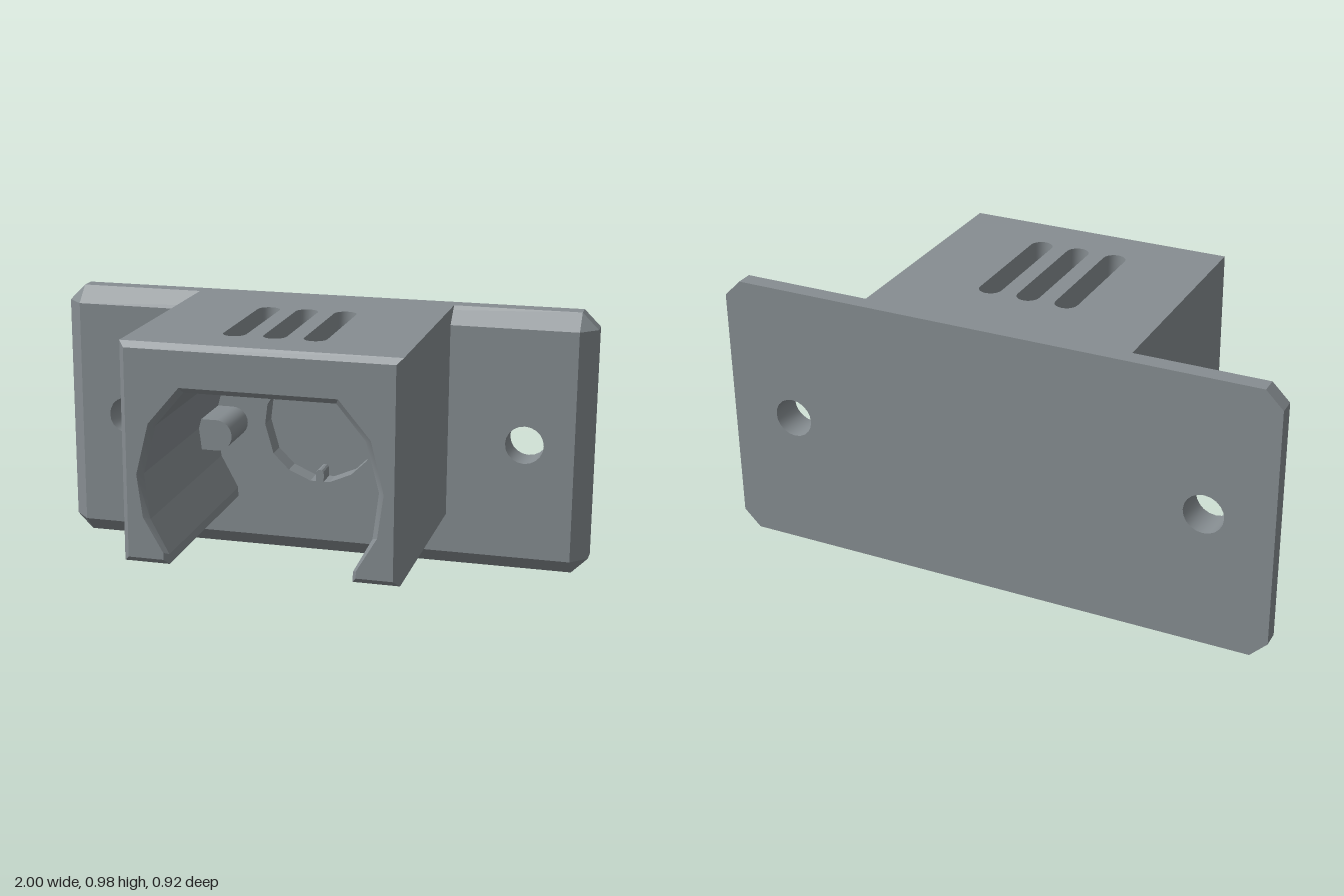
import * as THREE from 'three';
import { mergeGeometries, toCreasedNormals } from 'three/addons/utils/BufferGeometryUtils.js';

const material = new THREE.MeshStandardMaterial({ color: 0x868d91 });

// All outlines are counter-clockwise lists of [x, y].
const mirror = pts => pts.map(([x, y]) => [-x, y]).reverse();
const rect = (x0, y0, x1, y1) => [[x0, y0], [x1, y0], [x1, y1], [x0, y1]];
const arc = (cx, cy, r, from, to, n) => Array.from({ length: n + 1 }, (_, i) => {
  const a = from + (to - from) * i / n;
  return [cx + r * Math.cos(a), cy + r * Math.sin(a)];
});
const circle = (cx, cy, r, n = 20) => arc(cx, cy, r, 0, 2 * Math.PI, n).slice(0, n);

// Walls between outline a at z0 and outline b at z1, leaving out the skipped edges
function loft(a, z0, b, z1, skip = []) {
  const pos = [];
  const same = (p, q) => Math.hypot(p[0] - q[0], p[1] - q[1]) < 1e-6;
  a.forEach((p, i) => {
    if (skip.includes(i)) return;
    const j = (i + 1) % a.length;
    const [A, B, C, D] = [[...p, z0], [...a[j], z0], [...b[j], z1], [...b[i], z1]];
    if (!same(p, a[j])) pos.push(...A, ...B, ...C);
    if (!same(b[i], b[j])) pos.push(...A, ...C, ...D);
  });
  const g = new THREE.BufferGeometry();
  g.setAttribute('position', new THREE.Float32BufferAttribute(pos, 3));
  return g;
}
const holeWall = (pts, z0, z1) => {
  const r = [...pts].reverse();
  return loft(r, z0, r, z1);
};

// Flat face at height z; flip turns it towards -z
function cap(pts, z, holes = [], flip = false) {
  const vec = list => list.map(p => new THREE.Vector2(...p));
  const shape = new THREE.Shape(vec(pts));
  shape.holes = holes.map(h => new THREE.Path(vec(h)));
  const g = new THREE.ShapeGeometry(shape).translate(0, 0, z);
  if (flip) g.index.array.reverse();
  const flat = g.toNonIndexed();
  flat.deleteAttribute('uv');
  flat.deleteAttribute('normal');
  return flat;
}

function part(name, geometries) {
  const mesh = new THREE.Mesh(toCreasedNormals(mergeGeometries(geometries), 0.35), material);
  mesh.name = name;
  return mesh;
}

export function createModel() {
  const group = new THREE.Group();
  group.name = 'wallHolder';

  // Wall plate: clipped corners, bevelled front, two screw holes, keyed plug recess
  const H = 0.975, c = 0.06, back = -0.46, mid = -0.4, face = -0.34;
  const outline = [[-1 + c, 0], [1 - c, 0], [1, c], [1, H - c],
    [1 - c, H], [-1 + c, H], [-1, H - c], [-1, c]];
  const front = outline.map(([x, y]) => [Math.sign(x) * (1 - c), y < H / 2 ? c : H - c]);
  const screws = [-0.76, 0.76].map(x => circle(x, 0.49, 0.07));
  const half = [[0.037, 0.29], [0.12, 0.326], [0.18, 0.385], [0.212, 0.497], [0.203, 0.572], [0.163, 0.64]];
  const recess = [...half, ...mirror(half), [-0.015, 0.29],
    ...arc(0, 0.32, 0.015, Math.PI, 0, 6), [0.015, 0.29]];
  const floor = -0.42;
  group.add(part('wallPlate', [
    loft(outline, back, outline, mid),
    loft(outline, mid, front, face),
    cap(outline, back, screws, true),
    cap(rect(-1 + c, c, 1 - c, H - c), face, [...screws, recess]),
    ...screws.map(s => holeWall(s, back, face)),
    holeWall(recess, floor, face),
    cap(recess, floor),
  ]));

  // Housing: open-bottomed sleeve with a bevelled mouth
  const W = 0.48, bottom = 0.205, ceiling = 0.81, lip = 0.44, end = 0.46, b = 0.02;
  const cavity = [[0.32, bottom], [0.32, 0.24], [0.385, 0.36], [0.405, 0.52], [0.36, 0.69], [0.26, ceiling]];
  const mouth = [[0.335, bottom + b], [0.335, 0.25], [0.405, 0.37], [0.425, 0.52], [0.38, 0.7], [0.27, 0.83]];
  const sleeve = (w, y0, y1, inner) => [[w, y0], [w, y1], [-w, y1], [-w, y0],
    ...inner.map(([x, y]) => [-x, y]), ...[...inner].reverse()];
  const body = sleeve(W, bottom, H, cavity);
  const rim = sleeve(W - b, bottom + b, H - b, mouth);
  group.add(part('housing', [
    loft(body, mid, body, lip, [1, 9]),
    loft(body, lip, rim, end),
    cap(rim, end),
  ]));

  // Roof and ceiling with three vent slots, drawn flat and turned upright
  const slots = [-0.14, 0, 0.14].map(x => [
    ...arc(x, 0.15, 0.04, 0, Math.PI, 10),
    ...arc(x, -0.25, 0.04, Math.PI, 2 * Math.PI, 10),
  ]);
  const roof = part('ventedRoof', [
    cap(rect(-W, -lip, W, -mid), H, slots),
    cap(rect(-0.26, -lip, 0.26, -mid), ceiling, slots, true),
    ...slots.map(s => holeWall(s, ceiling, H)),
  ]);
  roof.rotation.x = -Math.PI / 2;
  group.add(roof);

  // Side stops deep inside the sleeve
  const stop = [[0.44, 0.555], ...arc(0.3375, 0.4975, 0.0575, Math.PI / 2, 1.5 * Math.PI, 12), [0.44, 0.44]];
  for (const [name, pts] of [['leftStop', stop], ['rightStop', mirror(stop)]]) {
    group.add(part(name, [loft(pts, face, pts, -0.14), cap(pts, -0.14)]));
  }
  return group;
}
